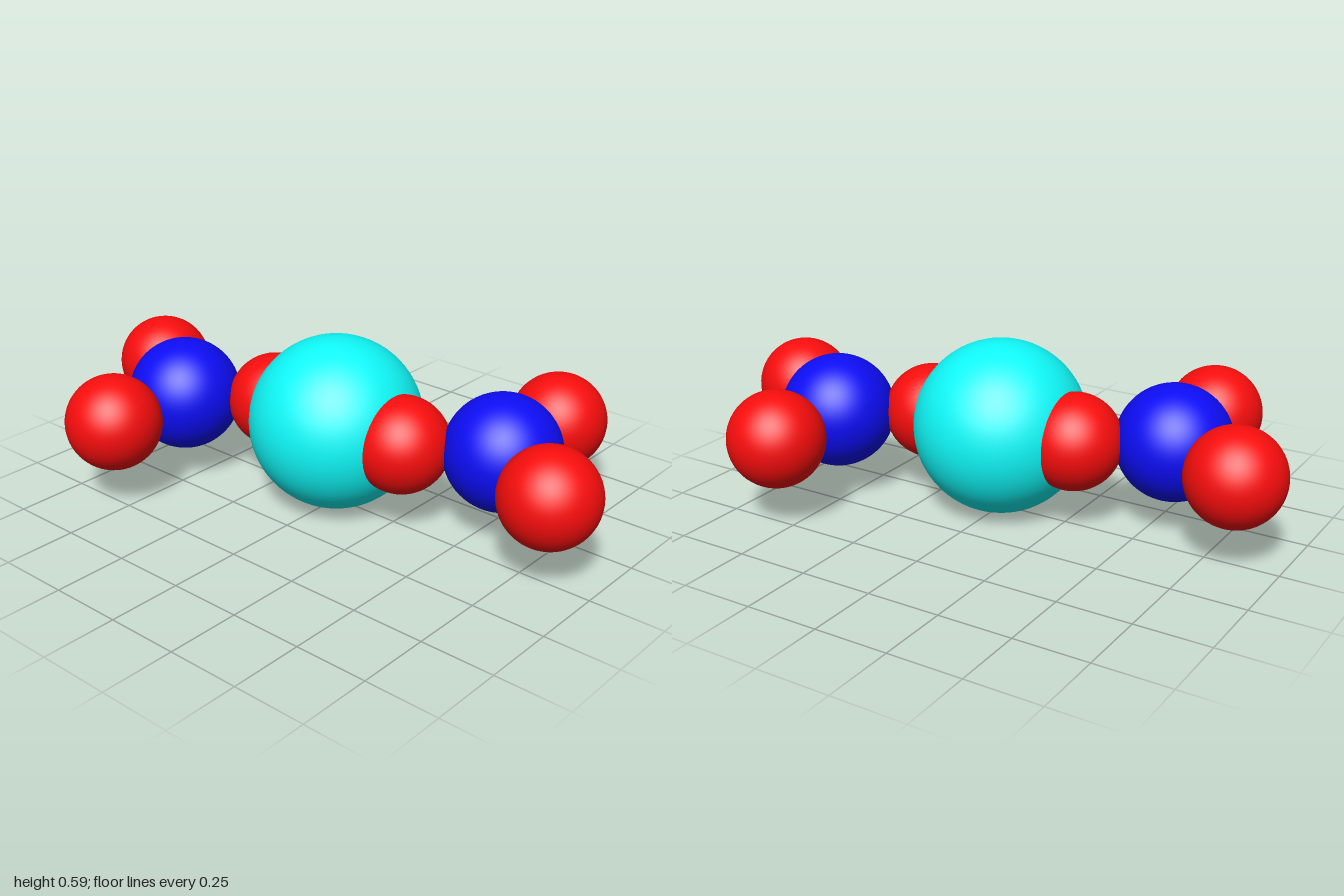
import * as THREE from 'three';

const CENTRE_RADIUS = 0.293;

const materials = {
  cyan: new THREE.MeshStandardMaterial({ color: 0x10f8f8 }),
  blue: new THREE.MeshStandardMaterial({ color: 0x0d0df5 }),
  red: new THREE.MeshStandardMaterial({ color: 0xf80d0d }),
};

function ball(name, material, radius, x, z) {
  const mesh = new THREE.Mesh(new THREE.SphereGeometry(radius, 64, 40), material);
  mesh.name = name;
  mesh.position.set(x, 0, z);
  return mesh;
}

// One planar side group: a blue ball with three red balls around it
function sideGroup(name) {
  const group = new THREE.Group();
  group.name = name;
  group.add(
    ball('blueAtom', materials.blue, 0.194, 0.557, -0.165),
    ball('innerRedAtom', materials.red, 0.162, 0.277, 0),
    ball('outerRedAtom', materials.red, 0.162, 0.838, 0),
    ball('endRedAtom', materials.red, 0.162, 0.557, -0.491),
  );
  return group;
}

export function createModel() {
  const model = new THREE.Group();
  model.name = 'molecule';

  // Large central ball
  model.add(ball('centralAtom', materials.cyan, CENTRE_RADIUS, 0, 0));

  // Two side groups, half a turn apart
  const left = sideGroup('leftGroup');
  const right = sideGroup('rightGroup');
  right.rotation.y = Math.PI;
  model.add(left, right);

  // Rest the central ball on the ground
  for (const part of model.children) part.position.y = CENTRE_RADIUS;
  return model;
}
